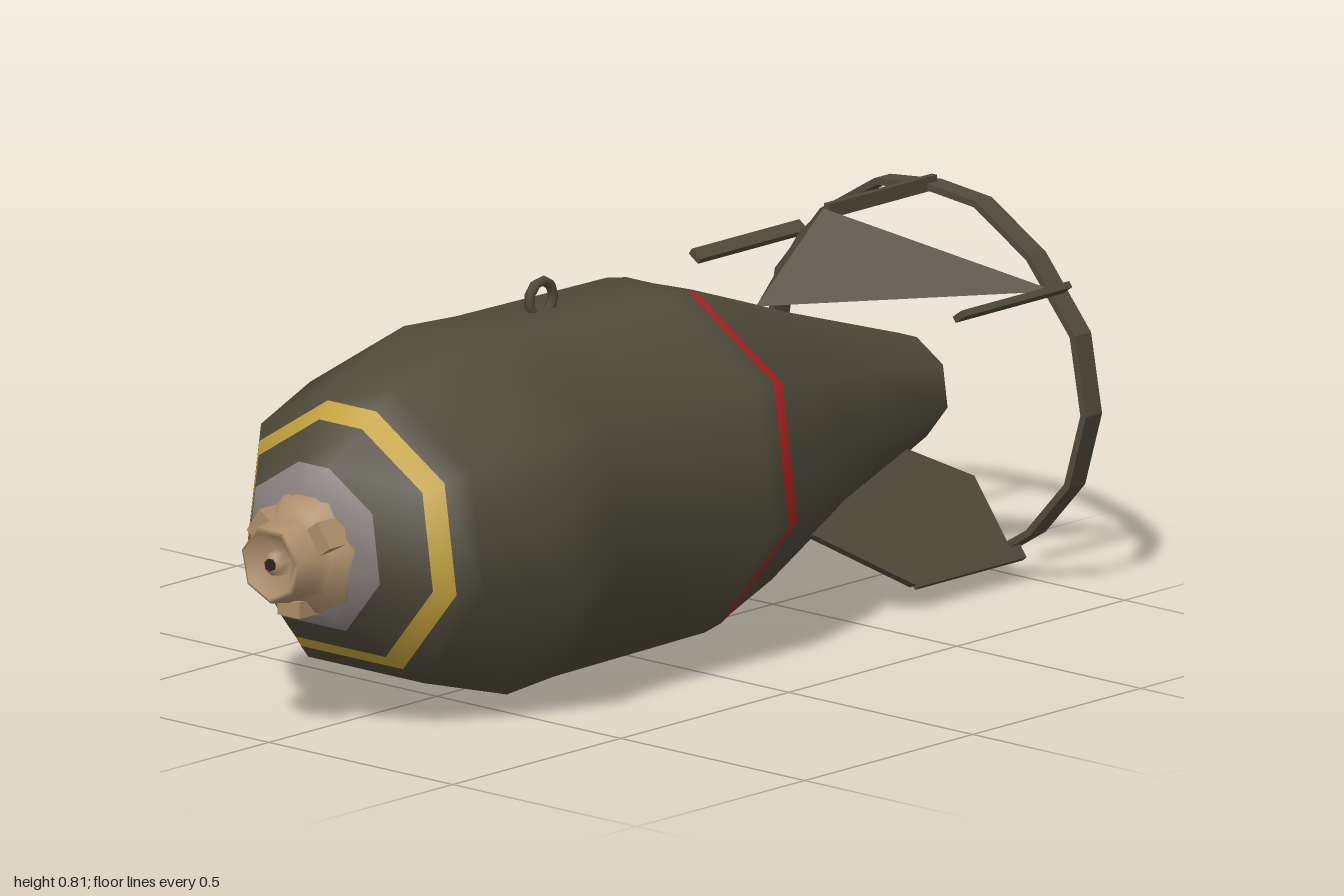
import * as THREE from 'three';

const mat = (name, color, side = THREE.FrontSide) => {
  const m = new THREE.MeshStandardMaterial({ color, side });
  m.name = name;
  return m;
};
const CY = 0.38; // height of the long axis

// Half of the eight-sided hull section, mirrored into a full counter-clockwise loop
const right = [[0.19, -0.34], [0.39, -0.095], [0.345, 0.215], [0.09, 0.375]];
const section = [...right, ...right.slice().reverse().map(([x, y]) => [-x, y])];

// Skin between scaled sections; each station is [z, scaleX, scaleY, materialIndex of the next strip]
function loft(stations, materials) {
  const pos = [], idx = [], n = section.length;
  const geo = new THREE.BufferGeometry();
  stations.forEach(([z, sx, sy, m], i) => {
    section.forEach(([x, y]) => pos.push(x * sx, CY + y * sy, z));
    if (i === stations.length - 1) return;
    geo.addGroup(idx.length, n * 6, m);
    for (let j = 0; j < n; j++) {
      const a = i * n + j, b = i * n + (j + 1) % n;
      idx.push(a, a + n, b, b, a + n, b + n);
    }
  });
  geo.setAttribute('position', new THREE.Float32BufferAttribute(pos, 3));
  geo.setIndex(idx);
  geo.computeVertexNormals();
  return new THREE.Mesh(geo, materials);
}

// Frame whose x axis points out from the long axis at an angle, and y axis along z
function radialMatrix(angle) {
  const c = Math.cos(angle), s = Math.sin(angle);
  return new THREE.Matrix4().makeBasis(
    new THREE.Vector3(c, s, 0), new THREE.Vector3(0, 0, 1), new THREE.Vector3(s, -c, 0)
  ).setPosition(0, CY, 0);
}

export function createModel() {
  const group = new THREE.Group();
  const olive = mat('olive', 0x504b3b, THREE.DoubleSide);
  const yellow = mat('yellow', 0xc4a23c);
  const red = mat('red', 0xb02520);
  const grey = mat('grey', 0x8a8180);
  const tan = mat('tan', 0xae8f6c);
  const dark = mat('dark', 0x2a2620);
  const add = (name, mesh) => {
    mesh.name = name;
    group.add(mesh);
    return mesh;
  };

  // Hull with its coloured bands: 0 olive, 1 yellow, 2 red, 3 grey
  add('hull', loft([
    [0.888, 0.3, 0.3, 3], [0.866, 0.46, 0.46, 0], [0.787, 0.645, 0.645, 1],
    [0.753, 0.73, 0.73, 0], [0.71, 0.83, 0.83, 0], [0.5, 1, 1, 0],
    [0.35, 0.95, 0.98, 0], [-0.1, 0.945, 0.965, 0], [-0.155, 0.92, 0.94, 2],
    [-0.193, 0.89, 0.9, 0], [-0.33, 0.79, 0.79, 0], [-0.57, 0.52, 0.56, 0],
    [-0.9, 0.28, 0.28, 0],
  ], [olive, yellow, red, grey]));

  // Hollow tail end
  add('tailSocket', loft([
    [-0.9, 0.28, 0.28, 0], [-0.9, 0.23, 0.23, 0], [-0.8, 0.18, 0.18, 0], [-0.8, 0.001, 0.001, 0],
  ], [olive]));

  // Nose cap: stepped cone, cupped face and small hub
  const profile = [[0.132, 0.87], [0.128, 0.895], [0.1, 0.92], [0.088, 0.945], [0.08, 0.995],
    [0.07, 1], [0.03, 0.965], [0.022, 0.992], [0, 0.995]];
  const cap = new THREE.LatheGeometry(profile.map(([r, z]) => new THREE.Vector2(r, z)), 7);
  cap.rotateX(Math.PI / 2);
  const nose = add('noseCap', new THREE.Mesh(cap, tan));
  nose.position.y = 0.37;
  const hole = add('noseHole', new THREE.Mesh(new THREE.CylinderGeometry(0.013, 0.013, 0.006, 7), dark));
  hole.rotation.x = Math.PI / 2;
  hole.position.set(0, 0.37, 0.996);

  // Three lugs around the nose cap
  for (const deg of [35, 145, 270]) {
    const a = THREE.MathUtils.degToRad(deg);
    const lug = add('noseLug', new THREE.Mesh(new THREE.BoxGeometry(0.035, 0.06, 0.06), tan));
    lug.position.set(Math.cos(a) * 0.1, 0.37 + Math.sin(a) * 0.1, 0.912);
    lug.rotation.z = a;
  }

  // Lifting eye
  const eye = add('liftingEye', new THREE.Mesh(new THREE.TorusGeometry(0.036, 0.011, 6, 9), olive));
  eye.rotation.y = Math.PI / 2;
  eye.position.set(0, 0.769, 0.19);

  // Tail ring: mirrored polygon with an inset hole
  const half = [[0, 0.003], [0.17, 0.037], [0.285, 0.108], [0.392, 0.225], [0.438, 0.38],
    [0.408, 0.543], [0.285, 0.688], [0.138, 0.776], [0, 0.79]];
  const outline = [...half, ...half.slice(1, -1).reverse().map(([x, y]) => [-x, y])];
  const ringShape = new THREE.Shape(outline.map(([x, y]) => new THREE.Vector2(x, y)));
  ringShape.holes.push(new THREE.Path(outline.map(([x, y]) =>
    new THREE.Vector2(x * 0.965, 0.395 + (y - 0.395) * 0.965))));
  const ring = add('tailRing', new THREE.Mesh(
    new THREE.ExtrudeGeometry(ringShape, { depth: 0.048, bevelEnabled: false }), olive));
  ring.position.z = -1;

  // Bars running forward from the ring: [angle, radius]
  for (const [deg, r] of [[90, 0.408], [35, 0.438], [145, 0.438], [-53.5, 0.398], [233.5, 0.398]]) {
    const geo = new THREE.BoxGeometry(0.03, 0.32, 0.014).translate(r, -0.82, 0);
    geo.applyMatrix4(radialMatrix(THREE.MathUtils.degToRad(deg)));
    add('ringBar', new THREE.Mesh(geo, olive));
  }

  // Lower fins, drawn as radius against z
  const finShape = new THREE.Shape([[0.25, -0.45], [0.1, -0.6], [0.11, -0.78], [0.22, -0.95],
    [0.405, -0.95], [0.405, -0.65]].map(([r, z]) => new THREE.Vector2(r, z)));
  for (const deg of [-53.5, 233.5]) {
    const geo = new THREE.ExtrudeGeometry(finShape, { depth: 0.014, bevelEnabled: false });
    geo.translate(0, 0, -0.007).applyMatrix4(radialMatrix(THREE.MathUtils.degToRad(deg)));
    add('lowerFin', new THREE.Mesh(geo, olive));
  }

  // Upper fins: two thin triangles sloping from the ridge to the side bars
  for (const s of [1, -1]) {
    const a = [0, 0.63, -0.45], b = [0, 0.795, -0.65], c = [s * 0.35, 0.625, -0.96];
    const geo = new THREE.BufferGeometry();
    const order = s > 0 ? [a, c, b] : [a, b, c];
    geo.setAttribute('position', new THREE.Float32BufferAttribute(order.flat(), 3));
    geo.computeVertexNormals();
    add('upperFin', new THREE.Mesh(geo, olive));
  }
  return group;
}
